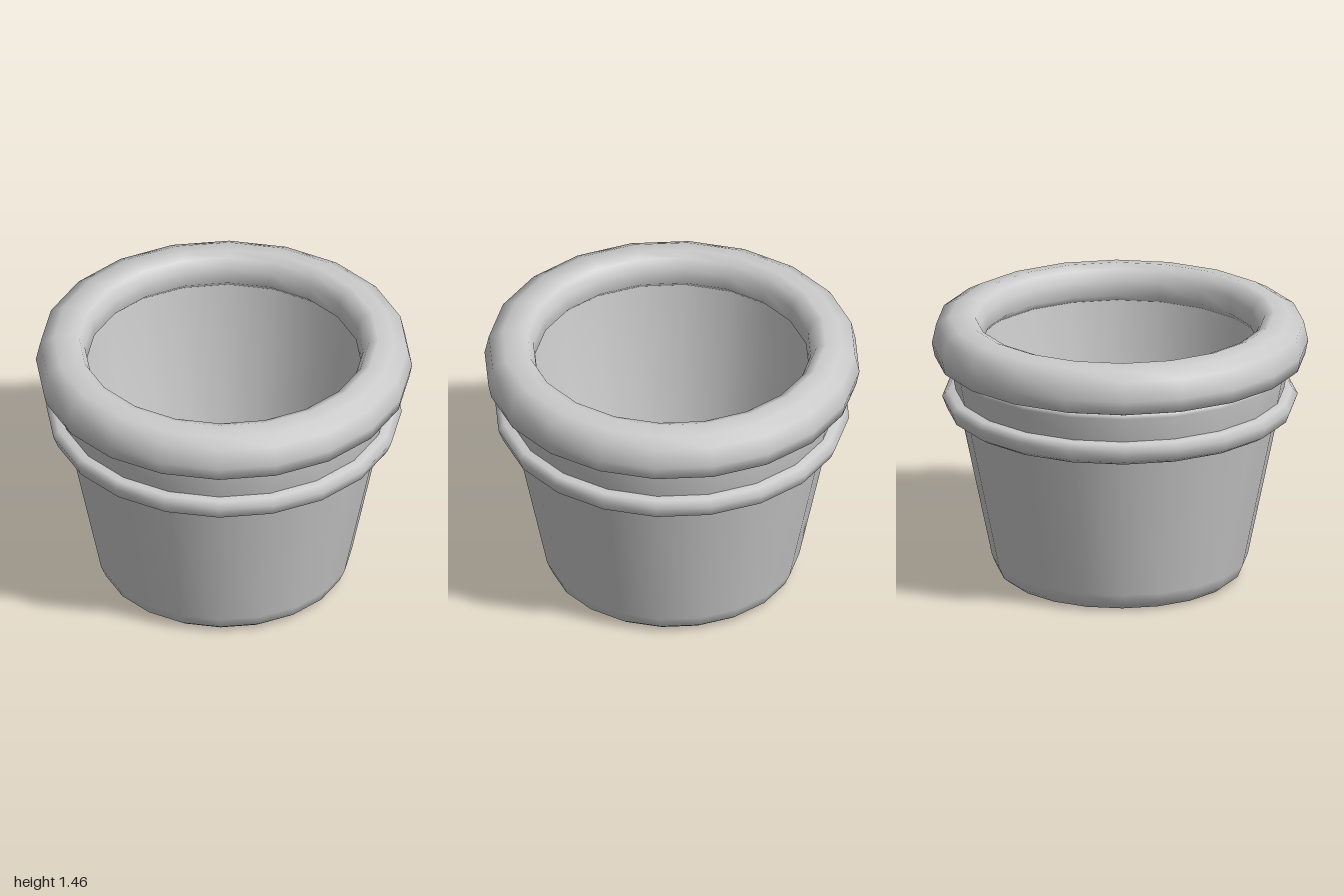
import * as THREE from 'three';

const SIDES = 20;

// Spins a profile of [radius, height] pairs: up the outside, down the inside.
function turned(name, profile, material) {
  const points = profile.map(([r, y]) => new THREE.Vector2(r, y));
  const mesh = new THREE.Mesh(new THREE.LatheGeometry(points, SIDES), material);
  mesh.name = name;
  return mesh;
}

export function createModel() {
  const group = new THREE.Group();
  group.name = 'flowerPot';
  const clay = new THREE.MeshStandardMaterial({ color: 0xcccccc });

  // Tapered outer wall with a rounded foot
  group.add(turned('outerWall', [
    [0, 0], [0.58, 0], [0.615, 0.006], [0.652, 0.035], [0.68, 0.1], [0.85, 0.92],
  ], clay));

  // Neck between the band and the rim
  group.add(turned('neck', [
    [0.85, 0.92], [0.873, 1.03], [0.9, 1.165], [0.893, 1.185], [0.87, 1.2],
  ], clay));

  // Raised band around the pot
  group.add(turned('band', [
    [0.82, 0.91], [0.885, 0.908], [0.92, 0.93], [0.945, 0.995], [0.915, 1.028], [0.85, 1.032],
  ], clay));

  // Thick rolled rim, curling over the opening
  group.add(turned('rim', [
    [0.8, 1.19], [0.9, 1.19], [0.985, 1.22], [1, 1.295], [0.977, 1.4], [0.905, 1.44],
    [0.82, 1.455], [0.77, 1.435], [0.74, 1.38], [0.73, 1.3], [0.77, 1.26],
  ], clay));

  // Hollow inside, down to the floor
  group.add(turned('innerWall', [
    [0.77, 1.27], [0.725, 0.91], [0.6, 0.15], [0.56, 0.105], [0.5, 0.1], [0, 0.1],
  ], clay));

  return group;
}
